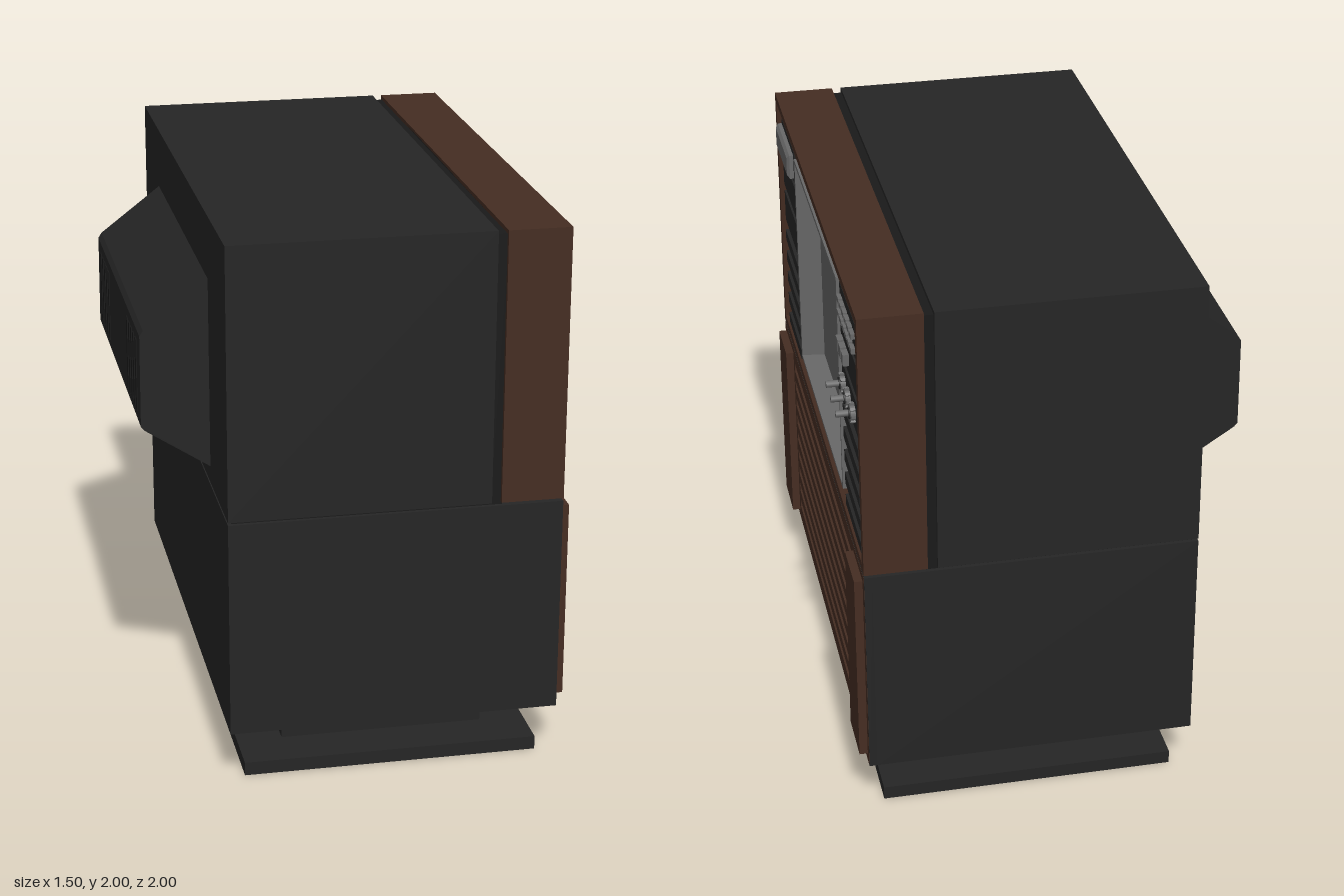
import * as THREE from 'three';

const mat = (name, color) => {
  const m = new THREE.MeshStandardMaterial({ color });
  m.name = name;
  return m;
};

export function createModel() {
  const root = new THREE.Group();
  const dark = mat('charcoal plastic', 0x252525);
  const black = mat('black recess', 0x1a1a1a);
  const wood = mat('brown wood', 0x452d22);
  const grey = mat('grey metal', 0x686868);
  const glass = mat('grey screen glass', 0x656565);

  const add = (name, geo, m) => {
    const mesh = new THREE.Mesh(geo, m);
    mesh.name = name;
    root.add(mesh);
    return mesh;
  };
  // Box given by its limits on each axis
  const box = (name, m, x0, x1, y0, y1, z0, z1) => {
    const g = new THREE.BoxGeometry(x1 - x0, y1 - y0, z1 - z0);
    g.translate((x0 + x1) / 2, (y0 + y1) / 2, (z0 + z1) / 2);
    return add(name, g, m);
  };
  // Plate across the x axis with rectangular holes; rect = [z0, z1, y0, y1]
  const corners = ([z0, z1, y0, y1]) =>
    [[-z1, y0], [-z0, y0], [-z0, y1], [-z1, y1]].map(p => new THREE.Vector2(...p));
  const plate = (name, m, x0, x1, rect, holes) => {
    const s = new THREE.Shape(corners(rect));
    s.holes = holes.map(h => new THREE.Path(corners(h)));
    const g = new THREE.ExtrudeGeometry(s, { depth: x1 - x0, bevelEnabled: false });
    g.rotateY(Math.PI / 2);
    g.translate(x0, 0, 0);
    return add(name, g, m);
  };
  // Rectangular rings joined one after another; ring = [x, z0, z1, y0, y1]
  const loft = (name, m, rings) => {
    const pos = [];
    const pts = rings.map(([x, ...r]) => corners(r).map(p => [x, p.y, -p.x]));
    for (let i = 0; i + 1 < pts.length; i++) for (let k = 0; k < 4; k++) {
      const n = (k + 1) % 4;
      const a = pts[i][k], b = pts[i][n], c = pts[i + 1][n], d = pts[i + 1][k];
      pos.push(...a, ...b, ...c, ...a, ...c, ...d);
    }
    const g = new THREE.BufferGeometry();
    g.setAttribute('position', new THREE.Float32BufferAttribute(pos, 3));
    g.computeVertexNormals();
    return add(name, g, m);
  };

  // Pedestal
  box('basePlate', dark, -0.445, 0.63, 0, 0.05, -0.94, 0.94);
  box('pedestal', dark, -0.28, 0.465, 0.05, 0.2, -0.77, 0.77);

  // Lower cabinet with grooved wooden front
  box('lowerCabinet', dark, -0.505, 0.66, 0.2, 1, -1, 1);
  plate('lowerCabinetRim', dark, 0.66, 0.689, [-1, 1, 0.2, 1], [[-0.997, 0.997, 0.203, 0.997]]);
  const grooves = [];
  for (let i = 0; i < 9; i++) {
    const y = 0.283 + i * 0.0797;
    grooves.push([-0.735, 0.735, y - 0.018, y + 0.018]);
  }
  plate('speakerGrille', wood, 0.664, 0.69, [-0.997, 0.997, 0.203, 0.997], grooves);
  box('grilleBacking', wood, 0.655, 0.664, 0.21, 0.99, -0.99, 0.99);
  for (const s of [-1, 1]) {
    const z = s * 0.867;
    box('sidePilaster', wood, 0.69, 0.72, 0.235, 0.97, z - 0.102, z + 0.102);
  }

  // Upper cabinet and wooden front frame
  box('upperCabinet', dark, -0.505, 0.43, 1.01, 2, -1, 1);
  box('cabinetNeck', black, 0.43, 0.47, 1.0, 1.985, -0.985, 0.985);
  box('cabinetSeam', black, -0.49, 0.43, 1, 1.01, -0.985, 0.985);
  plate('frameOuter', wood, 0.465, 0.69, [-1, 1, 1.01, 2], [[-0.965, 0.965, 1.04, 1.97]]);
  loft('frameBevel', wood, [[0.69, -0.965, 0.965, 1.04, 1.97], [0.66, -0.945, 0.945, 1.055, 1.952]]);
  box('frameBack', dark, 0.465, 0.475, 1.02, 1.99, -0.99, 0.99);

  // Control fascia, opened for the screen
  plate('fascia', dark, 0.62, 0.661, [-0.965, 0.965, 1.04, 1.97], [[-0.52, 0.525, 1.08, 1.92]]);
  loft('screenBezel', grey, [
    [0.655, -0.52, 0.525, 1.08, 1.92], [0.685, -0.52, 0.525, 1.08, 1.92],
    [0.685, -0.505, 0.508, 1.092, 1.905], [0.6, -0.49, 0.472, 1.105, 1.865],
  ]);
  box('screen', glass, 0.59, 0.602, 1.09, 1.89, -0.5, 0.5);

  // Raised panels and louvres on both sides of the screen
  for (const s of [-1, 1]) {
    const z = s * 0.735;
    const strip = (name, y0, y1, x1) => box(name, dark, 0.655, x1, y0, y1, z - 0.17, z + 0.17);
    strip('controlPanelTop', 1.8, 1.93, 0.68);
    strip('controlPanelMiddle', 1.655, 1.775, 0.68);
    strip('controlPanelLower', 1.5, 1.625, 0.68);
    for (let i = 0; i < 5; i++) {
      const y = 1.455 - i * 0.0925;
      strip('louvre', y - 0.045, y, 0.682);
      box('louvreSlot', black, 0.655, 0.664, y, y + 0.045, z - 0.165, z + 0.165);
    }
  }

  // Name-plate-like handle with chamfered edge
  loft('handlePlate', grey, [
    [0.68, 0.58, 0.905, 1.815, 1.91], [0.695, 0.58, 0.905, 1.815, 1.91],
    [0.705, 0.592, 0.893, 1.827, 1.898], [0.705, 0.742, 0.743, 1.862, 1.863],
  ]);

  // Push buttons
  for (let i = 0; i < 6; i++) for (const y of [1.83, 1.885]) {
    const z = -0.61 - i * 0.0535;
    box('smallButton', grey, 0.675, 0.695, y - 0.01, y + 0.01, z - 0.021, z + 0.021);
  }
  for (let i = 0; i < 3; i++) {
    const z = -0.61 - i * 0.056;
    box('squareButton', grey, 0.675, 0.702, 1.695, 1.738, z - 0.022, z + 0.022);
  }

  // Rotary knobs: toothed disc, dark ring and spindle
  for (let i = 0; i < 3; i++) {
    const knob = new THREE.Group();
    knob.name = 'rotaryKnob';
    knob.position.set(0.68, 1.567, -0.622 - i * 0.108);
    const disc = (name, m, r, x0, x1, sides) => {
      const g = new THREE.CylinderGeometry(r, r, x1 - x0, sides);
      g.rotateZ(-Math.PI / 2);
      g.translate((x0 + x1) / 2, 0, 0);
      const mesh = new THREE.Mesh(g, m);
      mesh.name = name;
      knob.add(mesh);
    };
    disc('knobDisc', grey, 0.03, 0, 0.018, 20);
    disc('knobRing', dark, 0.021, 0.018, 0.022, 20);
    disc('knobSpindle', grey, 0.012, 0.018, 0.066, 12);
    for (let k = 0; k < 8; k++) {
      const tooth = new THREE.Mesh(new THREE.BoxGeometry(0.016, 0.01, 0.012), grey);
      const a = k * Math.PI / 4;
      tooth.position.set(0.009, Math.sin(a) * 0.031, Math.cos(a) * 0.031);
      tooth.rotation.x = -a;
      tooth.name = 'knobTooth';
      knob.add(tooth);
    }
    root.add(knob);
  }

  // Rear tube housing with vents
  const profile = new THREE.Shape([[-0.5, 1.07], [-0.5, 1.775], [-0.735, 1.595],
    [-0.748, 1.575], [-0.75, 1.24], [-0.738, 1.225]].map(p => new THREE.Vector2(...p)));
  const hump = new THREE.ExtrudeGeometry(profile, { depth: 1.235, bevelEnabled: false });
  hump.translate(0, 0, -0.6175);
  add('tubeHousing', hump, dark);
  for (const s of [-1, 1]) for (let i = 0; i < 5; i++) {
    const z = s * (0.28 + i * 0.06);
    box('rearVent', black, -0.752, -0.745, 1.27, 1.54, z - 0.014, z + 0.014);
  }

  return root;
}
